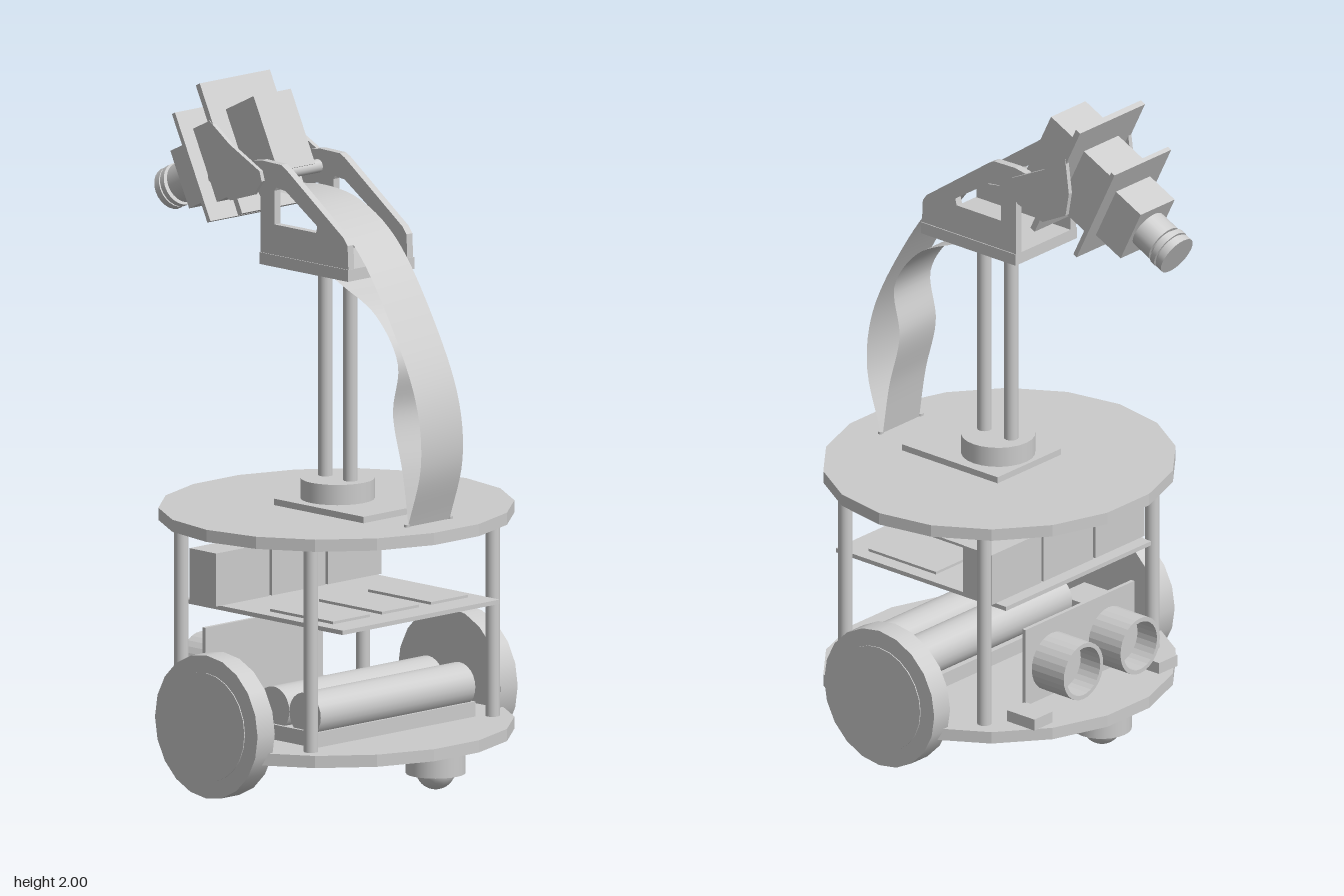
import * as THREE from 'three';

const grey = new THREE.MeshStandardMaterial({ color: 0xcccccc });
const flat = new THREE.MeshStandardMaterial({ color: 0xcccccc, flatShading: true });
const thin = new THREE.MeshStandardMaterial({ color: 0xcccccc, side: THREE.DoubleSide });

const CZ = 0.105; // centre of the chassis along z

export function createModel() {
  const root = new THREE.Group();

  function add(parent, name, geo, x = 0, y = 0, z = 0, mat = grey) {
    const mesh = new THREE.Mesh(geo, mat);
    mesh.name = name;
    mesh.position.set(x, y, z);
    parent.add(mesh);
    return mesh;
  }
  // Box given by its limits on each axis
  function box(parent, name, x0, x1, y0, y1, z0, z1) {
    return add(parent, name, new THREE.BoxGeometry(x1 - x0, y1 - y0, z1 - z0),
      (x0 + x1) / 2, (y0 + y1) / 2, (z0 + z1) / 2);
  }
  // Upright cylinder from y0 to y1
  function post(parent, name, r, y0, y1, x, z, seg = 20) {
    return add(parent, name, new THREE.CylinderGeometry(r, r, y1 - y0, seg), x, (y0 + y1) / 2, z);
  }
  // Cylinder lying along x
  function rod(parent, name, r, x0, x1, y, z, seg = 24) {
    const geo = new THREE.CylinderGeometry(r, r, x1 - x0, seg).rotateZ(Math.PI / 2);
    return add(parent, name, geo, (x0 + x1) / 2, y, z);
  }
  const path = (pts) => pts.map(([a, b]) => new THREE.Vector2(a, b));
  // Side plate from a profile of (-z, y) points, extruded along x
  function sidePlate(parent, name, pts, x0, x1, hole) {
    const shape = new THREE.Shape(path(pts));
    if (hole) shape.holes.push(new THREE.Path(path(hole)));
    const geo = new THREE.ExtrudeGeometry(shape, { depth: x1 - x0, bevelEnabled: false });
    return add(parent, name, geo.rotateY(Math.PI / 2), x0, 0, 0);
  }
  // Flat ribbon swept along a curve of (z, y) points
  function ribbon(name, halfWidth, pts) {
    const curve = new THREE.CatmullRomCurve3(pts.map(([z, y]) => new THREE.Vector3(0, y, z)));
    const n = 40, pos = [], idx = [];
    curve.getSpacedPoints(n).forEach((p, i) => {
      pos.push(-halfWidth, p.y, p.z, halfWidth, p.y, p.z);
      const a = 2 * i;
      if (i < n) idx.push(a, a + 1, a + 3, a, a + 3, a + 2);
    });
    const geo = new THREE.BufferGeometry();
    geo.setAttribute('position', new THREE.Float32BufferAttribute(pos, 3));
    geo.setIndex(idx);
    geo.computeVertexNormals();
    add(root, name, geo, 0, 0, 0, thin);
  }

  // Two slightly oval decks
  for (const [name, y] of [['lowerDeck', 0.1375], ['upperDeck', 0.778]]) {
    const geo = new THREE.CylinderGeometry(0.53, 0.53, 0.036, 18, 1, false, Math.PI / 2);
    add(root, name, geo.scale(1, 1, 0.951), 0, y, CZ, flat);
  }

  // Columns, wheels and motors, mirrored left and right
  for (const s of [-1, 1]) {
    for (const z of [0.375, -0.16]) post(root, 'column', 0.021, 0.155, 0.76, s * 0.37, z, 16);
    const side = new THREE.Group();
    side.name = s > 0 ? 'leftDrive' : 'rightDrive';
    root.add(side);
    const span = (a, b) => (s > 0 ? [a, b] : [-b, -a]);
    rod(side, 'wheel', 0.212, ...span(0.46, 0.53), 0.212, CZ, 20);
    rod(side, 'hubCap', 0.16, ...span(0.5, 0.533), 0.212, CZ);
    box(side, 'motor', ...span(0.34, 0.46), 0.155, 0.235, 0.03, 0.18);
  }

  // Ball casters front and back
  for (const z of [0.515, -0.29]) {
    post(root, 'casterHousing', 0.087, 0.06, 0.12, 0, z, 24);
    add(root, 'casterBall', new THREE.SphereGeometry(0.059, 24, 16), 0, 0.071, z);
  }

  // Battery pack
  box(root, 'batteryTray', -0.325, 0.325, 0.155, 0.2, 0.1, 0.35);
  for (const z of [0.295, 0.165]) rod(root, 'battery', 0.065, -0.315, 0.315, 0.245, z);

  // Distance sensor with two open barrels facing back
  const sensor = new THREE.Group();
  sensor.name = 'distanceSensor';
  root.add(sensor);
  box(sensor, 'sensorBoard', -0.24, 0.24, 0.18, 0.42, -0.205, -0.193);
  const barrel = new THREE.LatheGeometry(
    path([[0, 0.05], [0.074, 0.05], [0.074, 0.125], [0.087, 0.125], [0.087, 0]]), 28).rotateX(-Math.PI / 2);
  const barrelMat = new THREE.MeshStandardMaterial({ color: 0xcccccc, side: THREE.DoubleSide, flatShading: true });
  for (const s of [-1, 1]) {
    add(sensor, 'sensorBarrel', barrel, s * 0.125, 0.287, -0.203, barrelMat);
    box(sensor, 'sensorFoot', s * 0.275 - 0.04, s * 0.275 + 0.04, 0.155, 0.19, -0.305, -0.2);
  }

  // Circuit board with chips and a row of blocks
  box(root, 'circuitBoard', -0.32, 0.32, 0.505, 0.518, -0.2, 0.455);
  for (const i of [-1, 0, 1]) {
    box(root, 'chip', i * 0.2 - 0.075, i * 0.2 + 0.075, 0.518, 0.526, 0.11, 0.37);
    box(root, 'boardBlock', i * 0.228 - 0.109, i * 0.228 + 0.109, 0.518, 0.675, -0.16, -0.05);
  }

  // Mast
  box(root, 'mastFoot', -0.14, 0.14, 0.795, 0.815, -0.01, 0.358);
  post(root, 'mastCollar', 0.108, 0.815, 0.875, 0, 0.11, 24);
  for (const z of [0.163, 0.06]) post(root, 'mastPost', 0.021, 0.87, 1.51, 0, z, 16);

  // Neck bracket: base and two cheeks with windows
  box(root, 'neckBase', -0.135, 0.135, 1.5, 1.535, -0.075, 0.29);
  const cheek = [[-0.29, 1.5], [0.075, 1.5], [0.075, 1.7], [0.12, 1.76], [0.11, 1.8], [0.07, 1.807],
    [-0.01, 1.805], [-0.03, 1.795], [-0.27, 1.625], [-0.285, 1.605]];
  const slot = [[-0.155, 1.625], [-0.16, 1.645], [-0.03, 1.73], [0.01, 1.735], [0.016, 1.725], [0.016, 1.625]];
  for (const x of [-0.132, 0.108]) sidePlate(root, 'neckCheek', cheek, x, x + 0.024, slot);
  rod(root, 'tiltAxle', 0.02, -0.14, 0.14, 1.755, -0.08, 16);

  // Tilted camera head, looking towards local -z
  const head = new THREE.Group();
  head.name = 'cameraHead';
  head.position.set(0, 1.817, -0.235);
  head.rotation.x = -THREE.MathUtils.degToRad(26);
  root.add(head);
  box(head, 'mainPlate', -0.143, 0.143, -0.2, 0.2, -0.009, 0.009);
  box(head, 'rearBlock', -0.076, 0.076, -0.12, 0.11, 0, 0.137);
  box(head, 'middleBlock', -0.076, 0.076, -0.125, 0.1, -0.155, 0);
  box(head, 'secondPlate', -0.125, 0.125, -0.177, 0.157, -0.16, -0.146);
  box(head, 'cameraBody', -0.075, 0.075, -0.107, 0.07, -0.266, -0.155);
  const arm = [[-0.13, -0.14], [-0.08, -0.165], [0.02, -0.15], [0.08, -0.07], [0.06, 0], [0, 0.09], [-0.05, 0], [-0.135, -0.11]];
  for (const x of [-0.145, 0.131]) sidePlate(head, 'tiltArm', arm, x, x + 0.014);
  for (const [r, f0, f1] of [[0.06, 0.26, 0.335], [0.05, 0.33, 0.35], [0.064, 0.345, 0.362], [0.056, 0.36, 0.37], [0.063, 0.368, 0.39]]) {
    const ring = new THREE.CylinderGeometry(r, r, f1 - f0, 24).rotateX(Math.PI / 2);
    add(head, 'lensRing', ring, 0, -0.017, -(f0 + f1) / 2);
  }

  // Ribbon cables from the deck to the head and to the neck
  ribbon('headCable', 0.085, [[0.485, 0.79], [0.54, 0.98], [0.525, 1.15], [0.43, 1.36], [0.26, 1.6], [0.11, 1.69], [-0.03, 1.71], [-0.14, 1.7]]);
  ribbon('neckCable', 0.08, [[0.1, 1.52], [0.21, 1.47], [0.35, 1.4], [0.44, 1.27], [0.42, 1.12], [0.46, 0.95], [0.485, 0.79]]);
  for (const x of [-0.088, 0.088]) post(root, 'cablePin', 0.008, 0.79, 0.803, x, 0.486, 8);

  return root;
}
